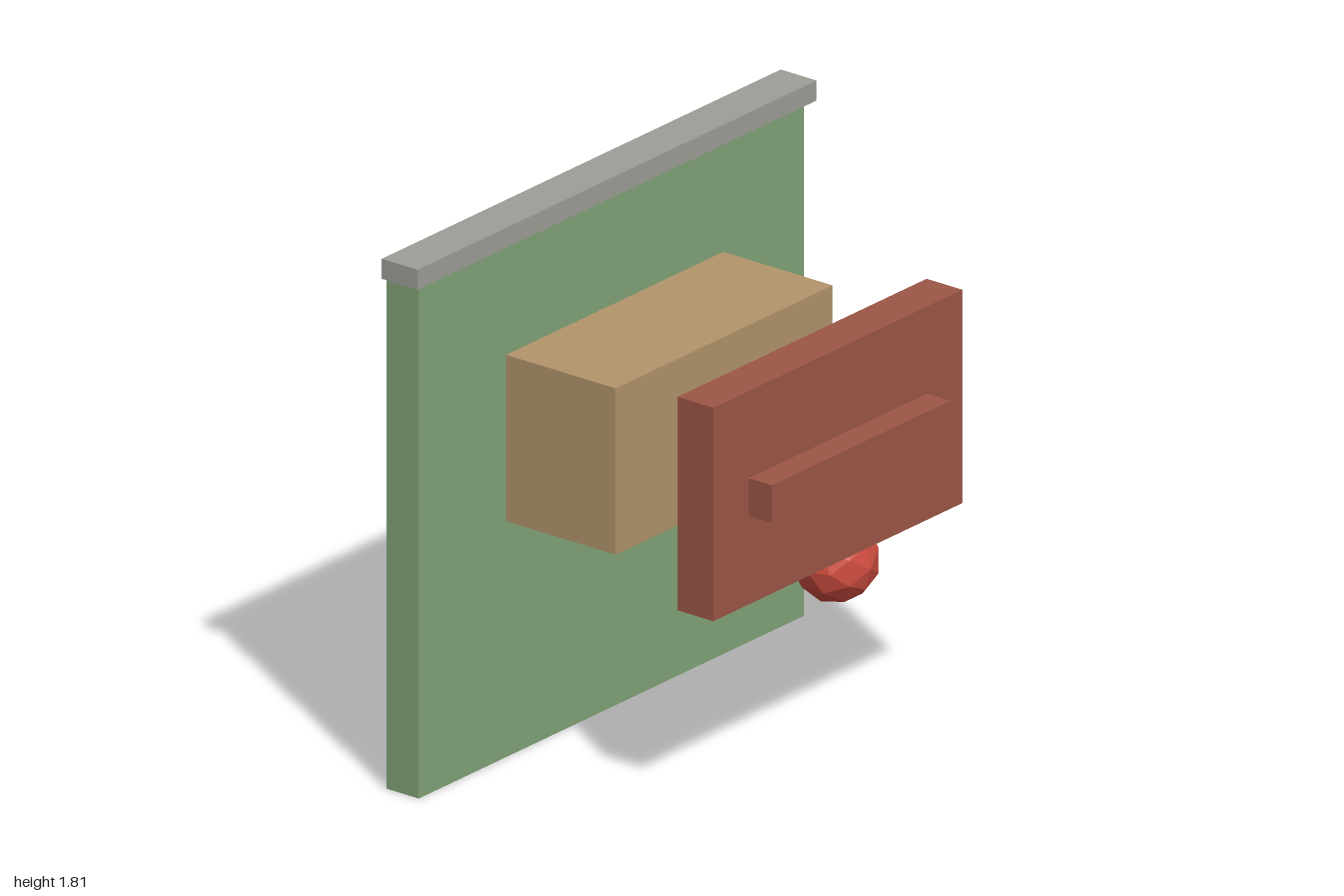
import * as THREE from 'three';

const paint = (color) => new THREE.MeshStandardMaterial({ color, flatShading: true });

export function createModel() {
  const model = new THREE.Group();
  const green = paint(0x82a377);
  const grey = paint(0x9e9e98);
  const tan = paint(0xb2956c);
  const brick = paint(0x9d5648);
  const red = paint(0xcf4d40);
  const brown = paint(0xa07c55);

  const add = (name, geometry, material, x, y, z) => {
    const mesh = new THREE.Mesh(geometry, material);
    mesh.name = name;
    mesh.position.set(x, y, z);
    model.add(mesh);
    return mesh;
  };

  // Box centred on x = 0, given its width and its y and z ranges
  const slab = (name, material, width, [y0, y1], [z0, z1]) =>
    add(name, new THREE.BoxGeometry(width, y1 - y0, z1 - z0), material, 0, (y0 + y1) / 2, (z0 + z1) / 2);

  // Wall panel with its cap rail
  slab('backPanel', green, 1.932, [0, 1.78], [-0.568, -0.438]);
  slab('topRail', grey, 2, [1.745, 1.813], [-0.56, -0.415]);

  // Drawer box and its separate front with a pull bar
  slab('box', tan, 1.088, [0.81, 1.375], [-0.425, 0.016]);
  slab('frontPlate', brick, 1.248, [0.728, 1.453], [0.33, 0.474]);
  slab('handle', brick, 0.894, [1.029, 1.157], [0.474, 0.568]);

  // Faceted knob on a rod
  add('knob', new THREE.IcosahedronGeometry(0.143, 1), red, 0.4, 0.527, 0.143);
  const rod = add('rod', new THREE.CylinderGeometry(0.031, 0.031, 0.43, 8), brown, 0.4, 0.527, -0.171);
  rod.rotation.x = Math.PI / 2;

  return model;
}
